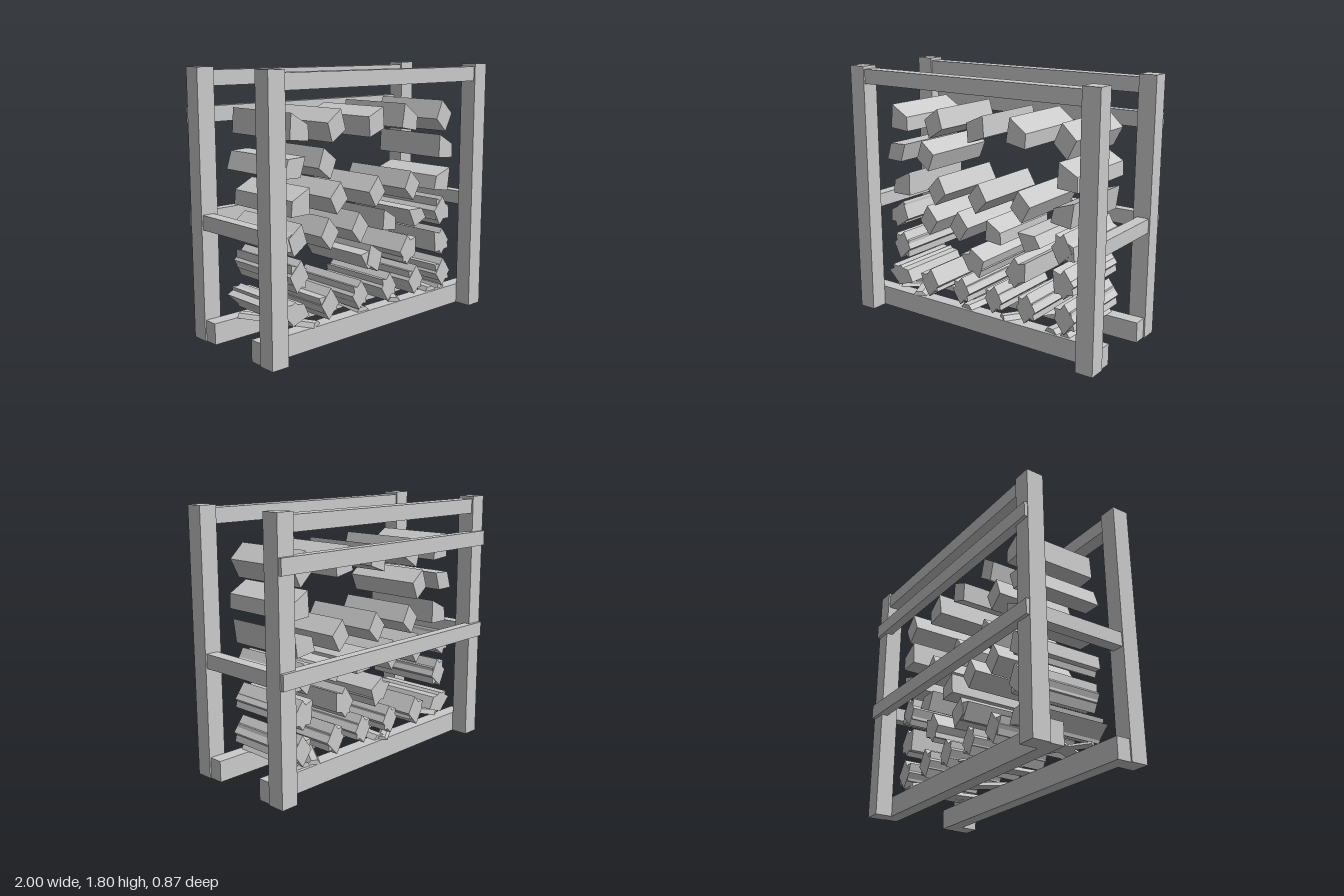
import * as THREE from 'three';

// Cross-sections of split wood
const KITE = [[0, 0.108], [0.08, 0], [0, -0.105], [-0.075, -0.003]];
const WEDGE = [[-0.07, 0.1], [0.07, 0.03], [0.08, -0.07], [-0.07, -0.068]];
const SHAPES = { kite: [KITE, 1], wedge: [WEDGE, 1], mirrored: [WEDGE, -1] };

export function createModel() {
  const model = new THREE.Group();
  model.name = 'firewoodRack';
  const wood = new THREE.MeshStandardMaterial({ color: 0xcacaca });
  wood.name = 'plain grey wood';

  const add = (name, geometry, x, y, z) => {
    const mesh = new THREE.Mesh(geometry, wood);
    mesh.name = name;
    mesh.position.set(x, y, z);
    model.add(mesh);
    return mesh;
  };

  // Box given by its extents on each axis
  const beam = (name, x0, x1, y0, y1, z0, z1) =>
    add(name, new THREE.BoxGeometry(x1 - x0, y1 - y0, z1 - z0),
      (x0 + x1) / 2, (y0 + y1) / 2, (z0 + z1) / 2);

  // Flat-sided prism running along z
  const prism = (points, depth) => new THREE.ExtrudeGeometry(
    new THREE.Shape(points.map(([x, y]) => new THREE.Vector2(x, y))),
    { depth, bevelEnabled: false });

  // Corner posts and the side bars joining them
  for (const s of [-1, 1]) {
    const x0 = s < 0 ? -1 : 0.875;
    beam('frontPost', x0, x0 + 0.125, 0, 1.805, 0.31, 0.433);
    beam('backPost', x0, x0 + 0.125, 0, 1.805, -0.41, -0.286);
    const bar = s < 0 ? -0.99 : 0.905;
    beam('sideBar', bar, bar + 0.085, 0.757, 0.855, -0.286, 0.31);
  }

  // Bottom rails, top rails and back slats
  beam('frontBottomRail', -0.99, 0.99, 0, 0.145, 0.21, 0.31);
  beam('backBottomRail', -0.99, 0.99, 0, 0.145, -0.286, -0.185);
  beam('frontTopRail', -0.875, 0.875, 1.683, 1.785, 0.32, 0.422);
  beam('backTopRail', -0.875, 0.875, 1.683, 1.785, -0.398, -0.296);
  beam('upperBackSlat', -0.995, 0.995, 1.445, 1.55, -0.433, -0.365);
  beam('lowerBackSlat', -0.995, 0.995, 0.76, 0.865, -0.433, -0.365);

  // Log lying front to back, its section scaled and turned by a tilt in degrees
  const log = (x, y, kind, tilt, size = 1) => {
    const [section, flip] = SHAPES[kind];
    const points = section.map(([px, py]) => [px * flip * size, py * size]);
    const trim = size < 1 ? 0.006 : 0;
    const mesh = add('splitLog', prism(points, 0.594 - 2 * trim), x, y, -0.285 + trim);
    mesh.rotation.z = THREE.MathUtils.degToRad(tilt);
  };

  // Stacked rows: height, then x, section, tilt and size of each log
  const rows = [
    [1.435, [-0.67, 'wedge', -4], [-0.36, 'kite', -20, 1.05], [0, 'kite', -32, 1.08],
      [0.33, 'wedge', -10], [0.69, 'kite', 10, 1.08]],
    [1.2, [-0.71, 'kite', -54], [-0.44, 'kite', 15], [0.715, 'wedge', -3]],
    [0.965, [-0.66, 'mirrored', 0], [-0.34, 'kite', -9], [0.01, 'kite', -6],
      [0.36, 'kite', 8], [0.685, 'mirrored', -8]],
    [0.74, [-0.69, 'kite', -18], [-0.71, 'mirrored', 0, 0.9], [-0.42, 'kite', 4],
      [-0.15, 'kite', 3], [0.14, 'wedge', -5, 0.85], [0.43, 'wedge', 25, 0.85],
      [0.68, 'kite', -8], [0.7, 'wedge', 0, 0.95]],
    [0.505, [-0.68, 'kite', -10], [-0.68, 'kite', 35, 0.95], [-0.01, 'kite', 20],
      [-0.04, 'kite', 65, 0.95], [0.32, 'kite', 0], [0.34, 'kite', -38],
      [0.69, 'wedge', 6, 0.95], [0.7, 'kite', 0, 0.95]],
    [0.27, [-0.69, 'wedge', 20, 0.95], [-0.72, 'kite', 80, 0.95], [-0.42, 'kite', -5],
      [-0.43, 'kite', 55, 0.9], [-0.14, 'kite', -5, 0.95], [-0.14, 'kite', 40, 0.85],
      [0.14, 'kite', -5, 0.95], [0.14, 'kite', 45, 0.85], [0.41, 'kite', -5],
      [0.41, 'kite', 42, 0.9], [0.71, 'kite', 0], [0.71, 'kite', 50, 0.95]],
  ];
  for (const [y, ...row] of rows) {
    for (const [x, kind, tilt, size] of row) log(x, y, kind, tilt, size);
  }

  // Thin kindling over the bottom rails: end points (x, z), width, thickness
  const kindling = [
    [-0.05, -0.28, -0.78, 0.21, 0.08, 0.02],
    [-0.77, -0.2, -0.53, 0.3, 0.1, 0.03],
    [-0.05, -0.26, -0.1, 0.29, 0.1, 0.03],
    [0.6, -0.27, 0.21, 0.29, 0.09, 0.03],
    [0.68, -0.26, 0.6, 0.29, 0.1, 0.03],
    [0.72, -0.26, 0.71, 0.29, 0.07, 0.03],
  ];
  for (const [x0, z0, x1, z1, w, h] of kindling) {
    const section = [[-w / 2, 0], [w / 2, 0], [w * 0.2, h], [-w * 0.3, h]];
    const stick = add('kindling', prism(section, Math.hypot(x1 - x0, z1 - z0)), x0, 0.145, z0);
    stick.rotation.y = Math.atan2(x1 - x0, z1 - z0);
  }
  return model;
}
